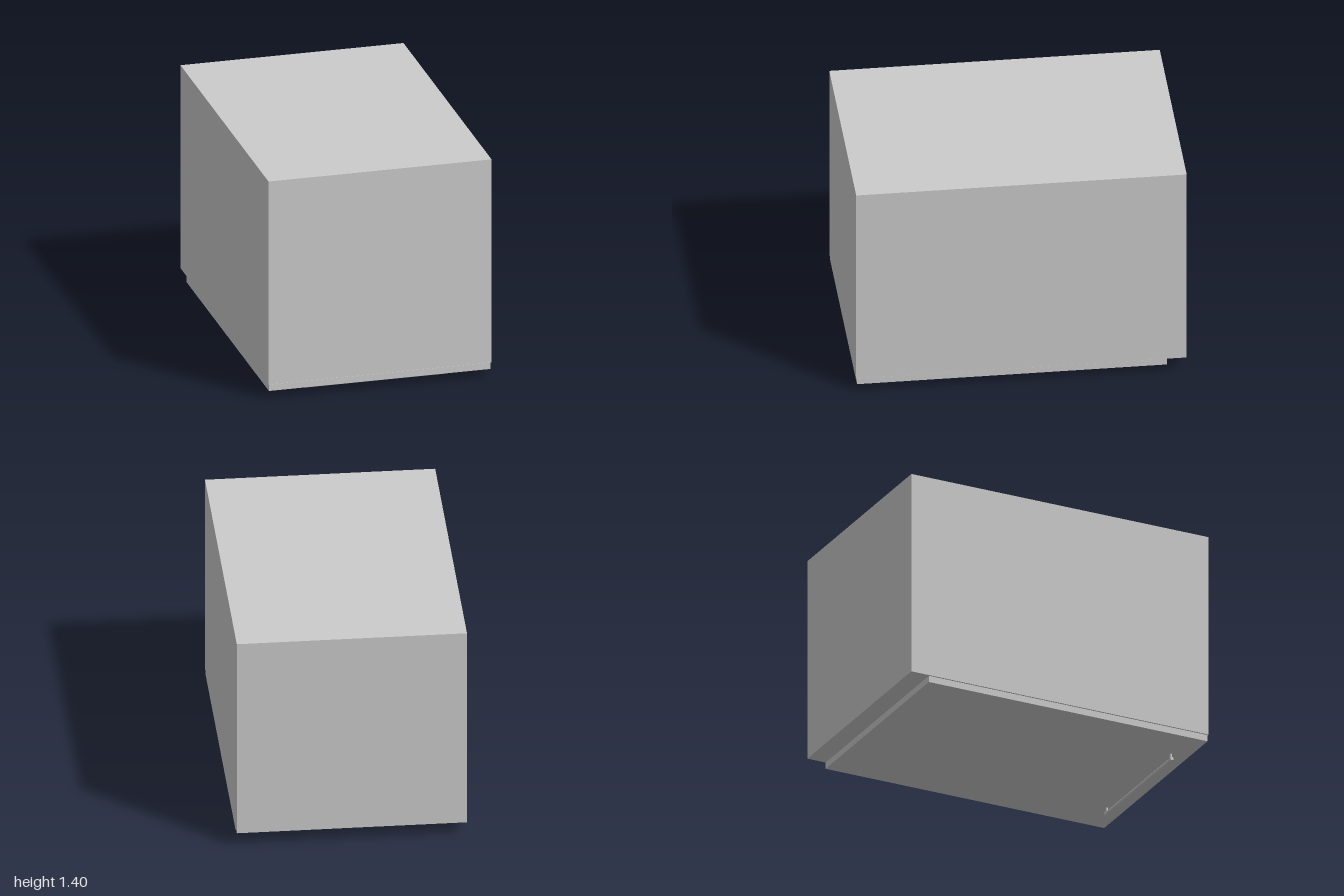
import * as THREE from 'three';

const material = new THREE.MeshStandardMaterial({ color: 0xcccccc });

function add(parent, name, geometry, x, y, z) {
  const mesh = new THREE.Mesh(geometry, material);
  mesh.name = name;
  mesh.position.set(x, y, z);
  parent.add(mesh);
  return mesh;
}

export function createModel() {
  const cabinet = new THREE.Group();
  cabinet.name = 'cabinet';

  // Cabinet body, lying with its door side facing down
  const bottom = 0.091, top = 1.4;
  add(cabinet, 'body', new THREE.BoxGeometry(1.39, top - bottom, 2), 0, (top + bottom) / 2, 0);

  // Door panel, separated from the body by a hairline gap and short at the back
  const doorBack = -0.88, doorFront = 0.995;
  add(cabinet, 'door', new THREE.BoxGeometry(1.382, 0.041, doorFront - doorBack),
    0, 0.0675, (doorFront + doorBack) / 2);

  // Bar handle on two posts
  const handle = new THREE.Group();
  handle.name = 'handle';
  handle.position.z = 0.88;
  cabinet.add(handle);
  const radius = 0.011;
  const bar = add(handle, 'handleBar', new THREE.CylinderGeometry(radius, radius, 0.89, 24), 0, radius, 0);
  bar.rotation.z = Math.PI / 2;
  for (const side of [-1, 1]) {
    add(handle, side > 0 ? 'leftHandlePost' : 'rightHandlePost',
      new THREE.CylinderGeometry(0.0065, 0.0065, 0.038, 16), side * 0.428, 0.03, 0);
  }

  return cabinet;
}
